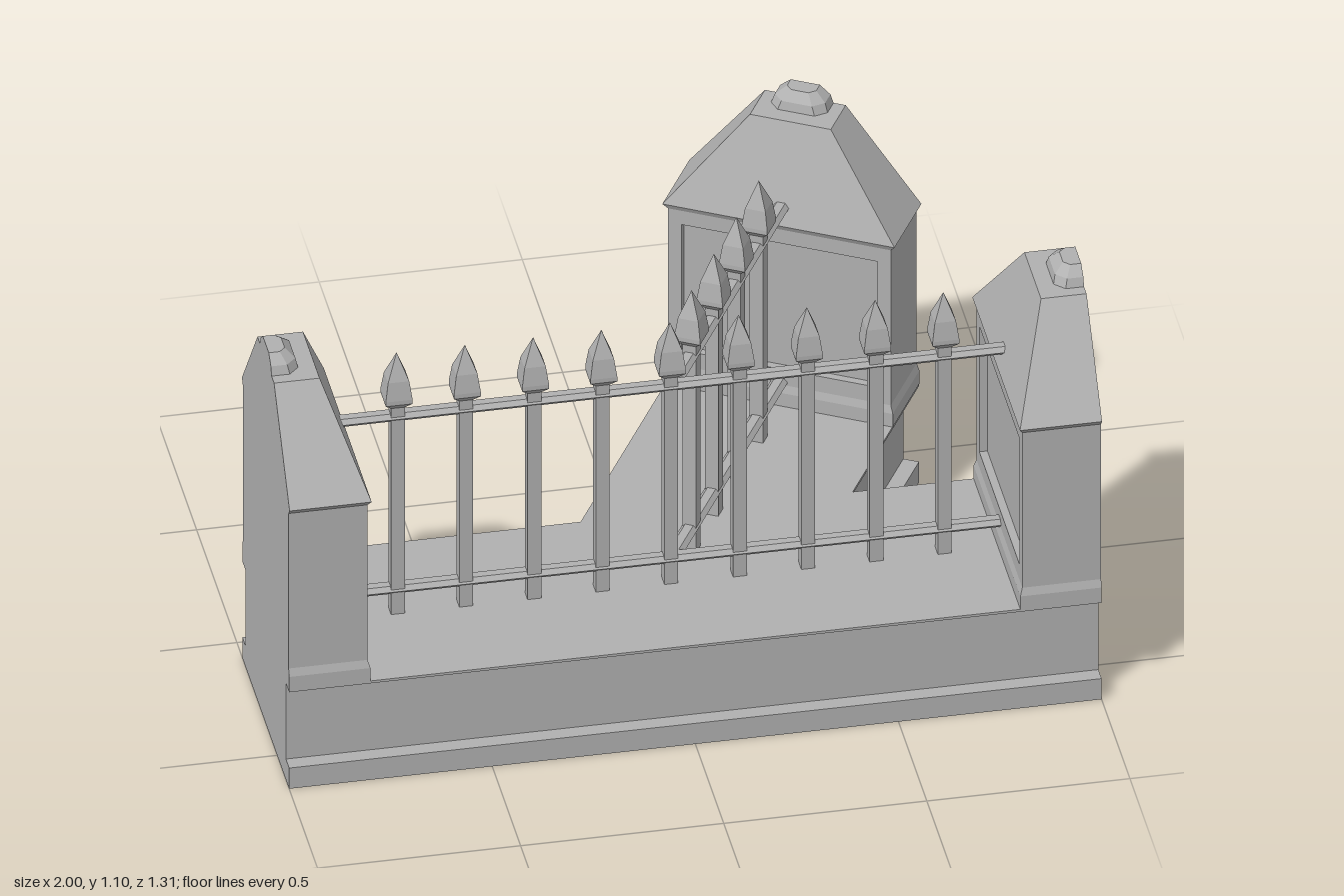
import * as THREE from 'three';

const CENTRE_Z = 0.358;
const stone = new THREE.MeshStandardMaterial({ color: 0xb0b0b0 });
stone.name = 'grey stone';

// Flat-faced mesh with a name
function part(name, geometry) {
  const g = geometry.index ? geometry.toNonIndexed() : geometry;
  g.computeVertexNormals();
  const mesh = new THREE.Mesh(g, stone);
  mesh.name = name;
  return mesh;
}

// Stacked cross-sections, open towards x = 1: [y, half width, inner x, corner chamfer]
function loft(sections) {
  const rings = sections.map(([y, w, u, c = 0]) => {
    const half = c ? [[1, w], [u + c, w], [u, w - c]] : [[1, w], [u, w]];
    const back = half.map(([x, z]) => [x, -z]).reverse();
    return [...half, ...back].map(([x, z]) => [x, y, z]);
  });
  const n = rings[0].length, pos = [];
  const tri = (...corners) => corners.forEach((p) => pos.push(...p));
  for (let i = 0; i < rings.length - 1; i++) {
    const lo = rings[i], up = rings[i + 1];
    for (let j = 0; j < n; j++) {
      const k = (j + 1) % n;
      tri(lo[k], lo[j], up[j]);
      tri(lo[k], up[j], up[k]);
    }
  }
  const bottom = rings[0], top = rings[rings.length - 1];
  for (let j = 1; j < n - 1; j++) {
    tri(bottom[0], bottom[j], bottom[j + 1]);
    tri(top[0], top[j + 1], top[j]);
  }
  const g = new THREE.BufferGeometry();
  g.setAttribute('position', new THREE.Float32BufferAttribute(pos, 3));
  return g;
}

// Three-armed plinth layer: straight run plus a branch at 60 degrees
function plinthLayer(name, h, y0, y1) {
  const c = 0.5, s = Math.sqrt(3) / 2;
  const shape = new THREE.Shape([
    [-1, -h], [1, -h], [1, h], [h * Math.sqrt(3), h],
    [c + s * h, s - c * h], [c - s * h, s + c * h],
    [-h / Math.sqrt(3), h], [-1, h],
  ].map(([x, y]) => new THREE.Vector2(x, y)));
  const g = new THREE.ExtrudeGeometry(shape, { depth: y1 - y0, bevelEnabled: false });
  g.rotateX(-Math.PI / 2).translate(0, y0, 0);
  return part(name, g);
}

// Half pillar at the end of an arm
function pillar() {
  const group = new THREE.Group();
  group.name = 'pillar';
  group.add(part('pillarBody', loft([
    [0.287, 0.291, 0.8], [0.325, 0.291, 0.8], [0.345, 0.284, 0.806],
    [0.345, 0.284, 0.826], [0.795, 0.284, 0.826], [0.795, 0.284, 0.806],
    [0.81, 0.296, 0.798], [1.055, 0.103, 0.888],
  ])));
  group.add(part('pillarCap', loft([
    [1.055, 0.072, 0.93, 0.025], [1.078, 0.064, 0.935, 0.025], [1.1, 0.037, 0.958, 0.015],
  ])));

  // Raised frame around the recessed panel
  const rect = (w, y0, y1) => [[-w, y0], [w, y0], [w, y1], [-w, y1]]
    .map(([x, y]) => new THREE.Vector2(x, y));
  const shape = new THREE.Shape(rect(0.284, 0.345, 0.795));
  shape.holes.push(new THREE.Path(rect(0.25, 0.39, 0.755)));
  const frame = new THREE.ExtrudeGeometry(shape, { depth: 0.02, bevelEnabled: false });
  frame.rotateY(Math.PI / 2).translate(0.806, 0, 0);
  group.add(part('panelFrame', frame));
  return group;
}

// Square bar with a spear head
function picket(x) {
  const profile = [
    [0, 0.285], [0.017, 0.285], [0.017, 0.885], [0.033, 0.903],
    [0.033, 0.915], [0.026, 0.965], [0, 1.035],
  ].map(([r, y]) => new THREE.Vector2(r * Math.SQRT2, y));
  const mesh = part('picket', new THREE.LatheGeometry(profile, 4, Math.PI / 4));
  mesh.position.x = x;
  return mesh;
}

// Flattened six-sided rail running out along an arm
function rail(y) {
  const g = new THREE.CylinderGeometry(1, 1, 0.82, 6);
  g.rotateZ(-Math.PI / 2).scale(1, 0.0127, 0.021).translate(0.41, y, 0);
  return part('rail', g);
}

// One arm: pillar, rails and pickets, turned about the junction
function arm(name, angle, firstPicket) {
  const group = new THREE.Group();
  group.name = name;
  group.add(pillar(), rail(0.354), rail(0.854));
  for (let i = 0; i < 4; i++) group.add(picket(firstPicket + i * 0.168));
  group.rotation.y = angle;
  return group;
}

export function createModel() {
  const model = new THREE.Group();
  model.name = 'fenceJunction';
  const body = new THREE.Group();
  body.name = 'fence';
  body.position.z = CENTRE_Z;
  body.add(
    plinthLayer('plinthFoot', 0.29, 0, 0.06),
    plinthLayer('plinthWall', 0.25, 0.06, 0.28),
    plinthLayer('plinthCoping', 0.29, 0.28, 0.287),
    arm('leftArm', 0, 0.164),
    arm('rightArm', Math.PI, 0.174),
    arm('backArm', Math.PI / 3, 0.146),
    picket(-0.005),
  );
  model.add(body);
  return model;
}
